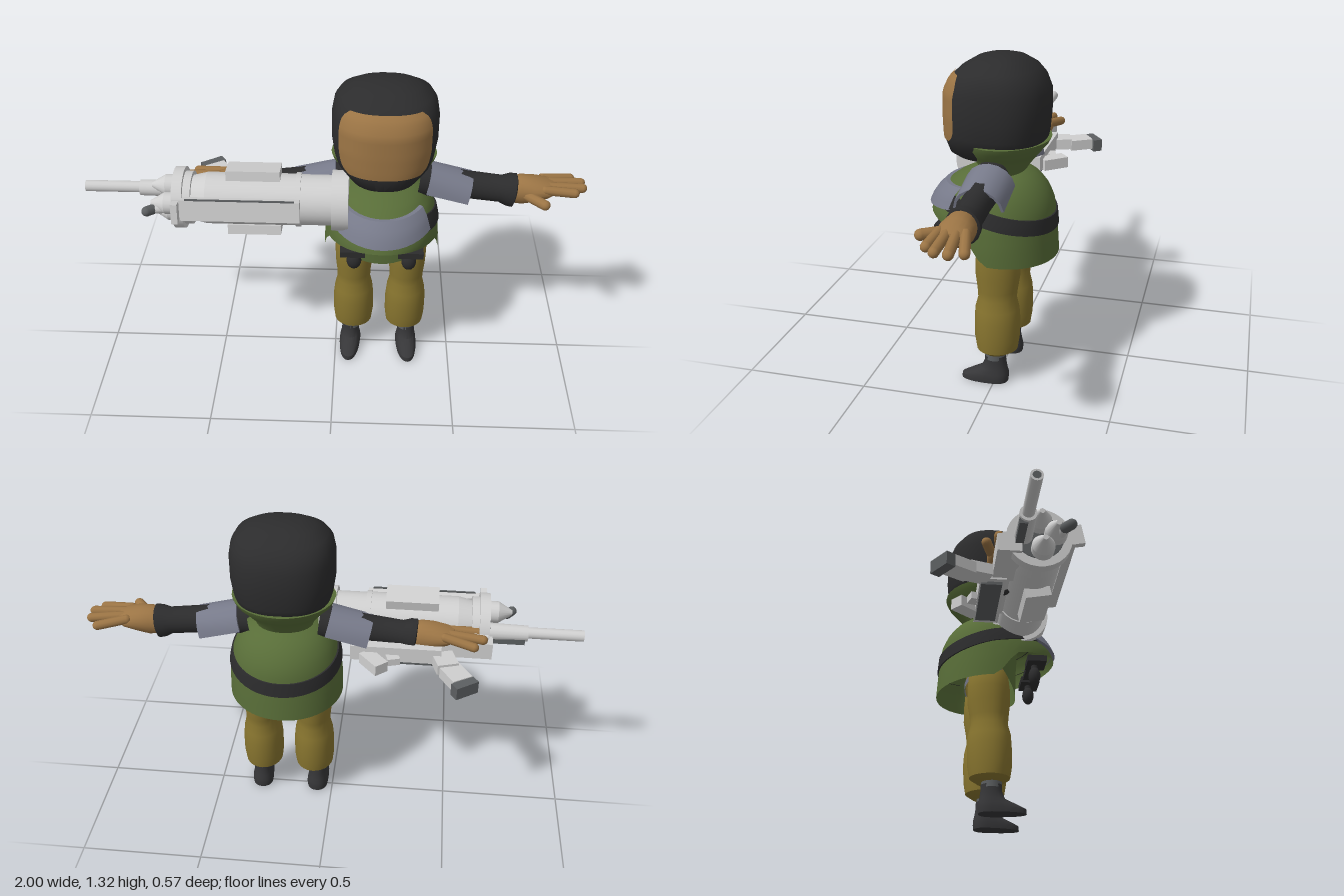
import * as THREE from 'three';
import { toCreasedNormals } from 'three/addons/utils/BufferGeometryUtils.js';

const PI = Math.PI;
const paint = (name, color, side = THREE.FrontSide) => {
  const m = new THREE.MeshStandardMaterial({ color, side });
  m.name = name;
  return m;
};

// Section row: [height, half width, front depth, back depth]; k is a fractional row index
function rowAt(rows, k) {
  const i = Math.min(Math.floor(k), rows.length - 2);
  return rows[i].map((a, j) => a + (rows[i + 1][j] - a) * (k - i));
}
function rowIndex(rows, y) {
  for (let i = 0; i < rows.length - 1; i++) {
    const a = rows[i][0], b = rows[i + 1][0];
    if (b > a && y <= b) return i + Math.max(0, (y - a) / (b - a));
  }
  return rows.length - 1;
}

// Surface lofted through the rows; angle 0 faces +z. A patch can choose its angles, heights and offset.
function shell(rows, { angle = () => PI, mid = 0, y, off = () => 0, nu = 32, nv = rows.length - 1, pow = 1 } = {}) {
  const g = new THREE.PlaneGeometry(1, 1, nu, nv), p = g.attributes.position;
  for (let i = 0; i < p.count; i++) {
    const v = p.getY(i) + 0.5, t = mid + p.getX(i) * 2 * angle(v);
    const [h, w, f, b] = rowAt(rows, y ? rowIndex(rows, y(v, t)) : v * (rows.length - 1));
    const s = Math.sin(t), c = Math.cos(t), o = off(v);
    p.setXYZ(i, Math.sign(s) * Math.abs(s) ** pow * w + s * o, h,
      Math.sign(c) * Math.abs(c) ** pow * (c > 0 ? f : b) + c * o);
  }
  return toCreasedNormals(g, 0.75);
}

// Strip with thickness that follows a surface between two heights
function strip(rows, half, low, high, thick, extra = {}) {
  return shell(rows, {
    angle: () => half, nv: 5,
    y: (v, t) => low(t) + (high(t) - low(t)) * THREE.MathUtils.clamp((v * 5 - 1) / 3, 0, 1),
    off: v => (v < 0.01 || v > 0.99 ? -0.004 : thick), ...extra,
  });
}

export function createModel() {
  const green = paint('olive cloth', 0x586d38, THREE.DoubleSide);
  const black = paint('black cloth', 0x2c2c2d, THREE.DoubleSide);
  const skin = paint('tan skin', 0x9c7545);
  const trousers = paint('mustard trousers', 0x88752f);
  const armour = paint('blue grey armour', 0x777a8a, THREE.DoubleSide);
  const boot = paint('charcoal boots', 0x363638);
  const steel = paint('pale steel', 0xcfcfcf);
  const grey = paint('mid grey metal', 0x5c5f61);

  const model = new THREE.Group();
  model.name = 'soldier';
  const body = new THREE.Group();
  body.name = 'body';
  body.position.x = 0.19;
  model.add(body);
  const add = (parent, name, geo, mat, x = 0, y = 0, z = 0) => {
    const m = new THREE.Mesh(geo, mat);
    m.name = name;
    m.position.set(x, y, z);
    parent.add(m);
    return m;
  };

  // Hood and face
  const head = [[0.93, 0, 0, 0], [0.93, 0.12, 0.17, 0.1], [0.95, 0.145, 0.2, 0.12], [1.0, 0.185, 0.212, 0.175],
    [1.03, 0.195, 0.214, 0.182], [1.1, 0.205, 0.215, 0.188], [1.19, 0.205, 0.212, 0.188], [1.24, 0.196, 0.188, 0.168],
    [1.275, 0.175, 0.15, 0.138], [1.305, 0.125, 0.1, 0.09], [1.318, 0.075, 0.06, 0.055], [1.322, 0, 0, 0]];
  add(body, 'hood', shell(head, { pow: 0.85, nu: 40 }), black);
  const faceEdge = v => 0.93 * (1 - 0.22 * Math.abs(2 * v - 1) ** 6);
  add(body, 'face', shell(head, { pow: 0.85, angle: faceEdge, nu: 20, nv: 16, y: v => 1.01 + 0.252 * v, off: () => 0.005 }), skin);

  // Collar
  const collar = [[0.86, 0.11, 0.09, 0.085], [0.9, 0.125, 0.09, 0.11], [0.95, 0.165, 0.115, 0.15],
    [0.985, 0.198, 0.13, 0.18], [1.008, 0.207, 0.13, 0.192], [1.008, 0.185, 0.11, 0.17]];
  add(body, 'collar', shell(collar), green);

  // Cape: short in front, long behind
  const cape = [[0.53, 0.236, 0.25, 0.226], [0.62, 0.234, 0.27, 0.22], [0.71, 0.226, 0.28, 0.212], [0.76, 0.215, 0.26, 0.204],
    [0.81, 0.195, 0.225, 0.18], [0.85, 0.163, 0.17, 0.145], [0.873, 0.125, 0.12, 0.11], [0.885, 0.08, 0.08, 0.08]];
  const hem = t => {
    const c = Math.cos(t);
    return c < 0 ? 0.553 + 0.015 * c : 0.553 + 0.11 * THREE.MathUtils.smoothstep(c, 0, 0.42) + 0.045 * c * c;
  };
  add(body, 'cape', shell(cape, { nu: 48, nv: 14, y: (v, t) => hem(t) + (0.885 - hem(t)) * (1 - (1 - v) ** 1.4) }), green);
  const belt = t => 0.738 + 0.055 * Math.cos(t);
  add(body, 'chestBand', strip(cape, PI, t => belt(t) - 0.03, t => belt(t) + 0.03, 0.006, { nu: 48 }), black);
  add(body, 'chestPlate', strip(cape, 0.95, t => 0.735 + 0.02 * t * t, t => 0.825 + 0.01 * t * t, 0.016, { nu: 14 }), armour);

  // Apron and hips
  const apron = [[0.53, 0.185, 0.11, 0.1], [0.64, 0.2, 0.112, 0.1], [0.74, 0.2, 0.12, 0.1]];
  add(body, 'apron', shell(apron, { angle: () => 1.45, nu: 20, nv: 6, y: (v, t) => {
    const low = 0.53 + 0.05 * t * t;
    return low + (0.74 - low) * v;
  } }), green);
  add(body, 'hips', shell([[0.53, 0, 0, 0], [0.54, 0.15, 0.055, 0.075], [0.58, 0.185, 0.075, 0.1], [0.66, 0.18, 0.075, 0.1], [0.66, 0, 0, 0]]), trousers);
  add(body, 'waistBand', shell([[0.58, 0.19, 0.08, 0.105], [0.605, 0.19, 0.08, 0.105]]), armour);
  add(body, 'beltStrap', new THREE.BoxGeometry(0.26, 0.02, 0.03), black, 0, 0.672, 0.17);

  // Legs, boots, pouches and grenades
  const leg = [[0.13, 0, 0, 0], [0.13, 0.055, 0.045, 0.06], [0.15, 0.08, 0.075, 0.09], [0.2, 0.086, 0.083, 0.098],
    [0.28, 0.086, 0.083, 0.1], [0.33, 0.081, 0.08, 0.096], [0.375, 0.07, 0.068, 0.086], [0.41, 0.071, 0.07, 0.09],
    [0.47, 0.077, 0.077, 0.1], [0.53, 0.079, 0.077, 0.1], [0.59, 0.077, 0.07, 0.095], [0.62, 0.06, 0.05, 0.08]];
  const foot = [[0, 0, 0, 0], [0.002, 0.044, 0.138, 0.054], [0.022, 0.046, 0.136, 0.056], [0.04, 0.044, 0.1, 0.055],
    [0.06, 0.04, 0.055, 0.05], [0.09, 0.036, 0.042, 0.045], [0.118, 0.037, 0.042, 0.044], [0.118, 0, 0, 0]];
  for (const s of [-1, 1]) {
    add(body, 'trouserLeg', shell(leg, { nu: 24 }), trousers, s * 0.112);
    add(body, 'ankle', new THREE.CylinderGeometry(0.042, 0.042, 0.035, 16), grey, s * 0.122, 0.122, 0);
    add(body, 'boot', shell(foot, { nu: 24, pow: 0.9 }), boot, s * 0.124).rotation.y = s * 0.06;
    add(body, 'pouch', new THREE.BoxGeometry(0.1, 0.026, 0.08), black, s * 0.115, 0.665, 0.188);
    add(body, 'grenadeCap', new THREE.CylinderGeometry(0.012, 0.016, 0.03, 10), black, s * 0.11, 0.645, 0.182);
    add(body, 'grenade', new THREE.SphereGeometry(0.03, 14, 10), black, s * 0.11, 0.605, 0.182).scale.set(1, 1.3, 0.85);
  }

  // Rounded rod between two points
  const rod = (parent, name, a, b, r, mat) => {
    const p = new THREE.Vector3(...a), d = new THREE.Vector3(...b).sub(p);
    const m = add(parent, name, new THREE.CapsuleGeometry(r, d.length(), 5, 10), mat);
    m.position.copy(p).addScaledVector(d, 0.5);
    m.quaternion.setFromUnitVectors(new THREE.Vector3(0, 1, 0), d.normalize());
  };

  // Arms, lofted along x by turning the sections on their side
  const sleeve = [[0, 0.07, 0.065, 0.065], [0.2, 0.056, 0.055, 0.055], [0.33, 0.055, 0.054, 0.054], [0.36, 0.068, 0.062, 0.062],
    [0.385, 0.071, 0.064, 0.064], [0.39, 0.06, 0.055, 0.055], [0.39, 0, 0, 0]];
  const palm = [[0, 0.05, 0.05, 0.05], [0.05, 0.062, 0.055, 0.058], [0.1, 0.052, 0.064, 0.064], [0.15, 0.036, 0.062, 0.066],
    [0.18, 0.022, 0.05, 0.055], [0.185, 0, 0, 0]];
  const pad = [[0, 0.085, 0.085, 0.085], [0, 0.095, 0.095, 0.095], [0.17, 0.095, 0.095, 0.095], [0.17, 0.085, 0.085, 0.085]];
  for (const s of [1, -1]) {
    const arm = new THREE.Group();
    arm.name = s > 0 ? 'leftArm' : 'rightArm';
    arm.scale.x = s;
    body.add(arm);
    add(arm, 'sleeve', shell(sleeve, { nu: 20 }), black, 0.14, 0.885, 0).rotation.z = -PI / 2 - 0.12;
    add(arm, 'shoulderPad', shell(pad, { mid: -PI / 2, angle: () => 1.5, nu: 8 }), armour, 0.168, 0.862, 0).rotation.z = -PI / 2 - 0.25;
    add(arm, 'palm', shell(palm, { nu: 20 }), skin, 0.5, 0.84, 0).rotation.z = -PI / 2 + 0.1;
    [[-0.048, 0.755, 0.85, -0.078], [-0.018, 0.79, 0.858, -0.035], [0.014, 0.79, 0.862, 0.012], [0.042, 0.755, 0.862, 0.05]]
      .forEach(([z, x, y, z1]) => rod(arm, 'finger', [0.64, 0.868, z], [x, y, z1], 0.019, skin));
    rod(arm, 'thumb', [0.57, 0.84, 0.04], [0.632, 0.845, 0.112], 0.021, skin);
  }

  // Launcher across the right side
  const gun = new THREE.Group();
  gun.name = 'launcher';
  gun.position.set(0, 0.845, 0.11);
  gun.rotation.x = -0.18;
  model.add(gun);
  const tube = (parent, name, x0, x1, r0, r1, mat = steel, y = 0, z = 0, n = 28) => {
    const m = add(parent, name, new THREE.CylinderGeometry(r0, r1, x1 - x0, n), mat, (x0 + x1) / 2, y, z);
    m.rotation.z = PI / 2;
  };
  [['endFlange', -0.01, 0.055, 0.12, 0.12], ['rearTube', -0.13, -0.01, 0.1, 0.1], ['rearRing', -0.15, -0.13, 0.107, 0.107],
    ['mainTube', -0.5, -0.15, 0.102, 0.102], ['taper', -0.56, -0.5, 0.088, 0.102], ['frontRing', -0.585, -0.555, 0.105, 0.105],
    ['muzzleRing', -0.625, -0.585, 0.122, 0.122]].forEach(a => tube(gun, ...a));
  tube(gun, 'muzzleFace', -0.628, -0.62, 0.09, 0.09, grey);
  for (const s of [-1, 1]) {
    add(gun, 'sidePanel', new THREE.BoxGeometry(0.21, 0.04, 0.1), steel, -0.315, s * 0.114, 0);
    add(gun, 'longRail', new THREE.BoxGeometry(0.49, 0.085, 0.035), steel, -0.375, 0, s * 0.112);
    add(gun, 'railGroove', new THREE.BoxGeometry(0.42, 0.006, 0.006), grey, -0.36, 0.045, s * 0.128);
  }
  for (const [y, z] of [[0.055, 0.01], [-0.055, 0], [0, 0.06]]) {
    tube(gun, 'warheadBase', -0.66, -0.62, 0.043, 0.043, steel, y, z, 18);
    tube(gun, 'warheadTip', -0.715, -0.66, 0.01, 0.043, steel, y, z, 18);
  }
  add(gun, 'sightPlate', new THREE.BoxGeometry(0.025, 0.08, 0.07), steel, -0.605, 0, 0.132);
  rod(gun, 'hornStem', [-0.62, -0.02, 0.06], [-0.705, -0.02, 0.08], 0.018, steel);
  rod(gun, 'hornTip', [-0.705, -0.02, 0.08], [-0.725, -0.02, 0.1], 0.02, grey);

  // Rifle lying on its side behind the launcher
  const rifle = new THREE.Group();
  rifle.name = 'rifle';
  model.add(rifle);
  const block = (name, size, pos, turn = 0, mat = steel) => {
    add(rifle, name, new THREE.BoxGeometry(...size), mat, ...pos).rotation.y = turn;
  };
  tube(rifle, 'barrel', -1, -0.77, 0.023, 0.023, steel, 0.848, 0.05, 16);
  tube(rifle, 'bore', -1.0005, -0.995, 0.015, 0.015, grey, 0.848, 0.05, 14);
  tube(rifle, 'barrelSleeve', -0.78, -0.6, 0.032, 0.036, steel, 0.845, 0.05, 16);
  block('gasBlock', [0.14, 0.035, 0.03], [-0.7, 0.825, 0.035], 0, grey);
  block('handguard', [0.22, 0.07, 0.09], [-0.53, 0.81, 0.0]);
  block('receiver', [0.36, 0.065, 0.1], [-0.26, 0.8, -0.04]);
  block('receiverTrim', [0.3, 0.02, 0.08], [-0.27, 0.765, -0.045], 0, grey);
  block('magazineUpper', [0.085, 0.045, 0.09], [-0.455, 0.785, -0.1], 0.3);
  block('magazineLower', [0.085, 0.045, 0.1], [-0.498, 0.775, -0.175], 0.55);
  block('magazineBase', [0.1, 0.052, 0.04], [-0.533, 0.768, -0.235], 0.6, grey);
  block('grip', [0.06, 0.045, 0.11], [-0.175, 0.785, -0.125], 0.7);
  block('triggerGuard', [0.05, 0.03, 0.04], [-0.25, 0.785, -0.1], 0.3);
  return model;
}
